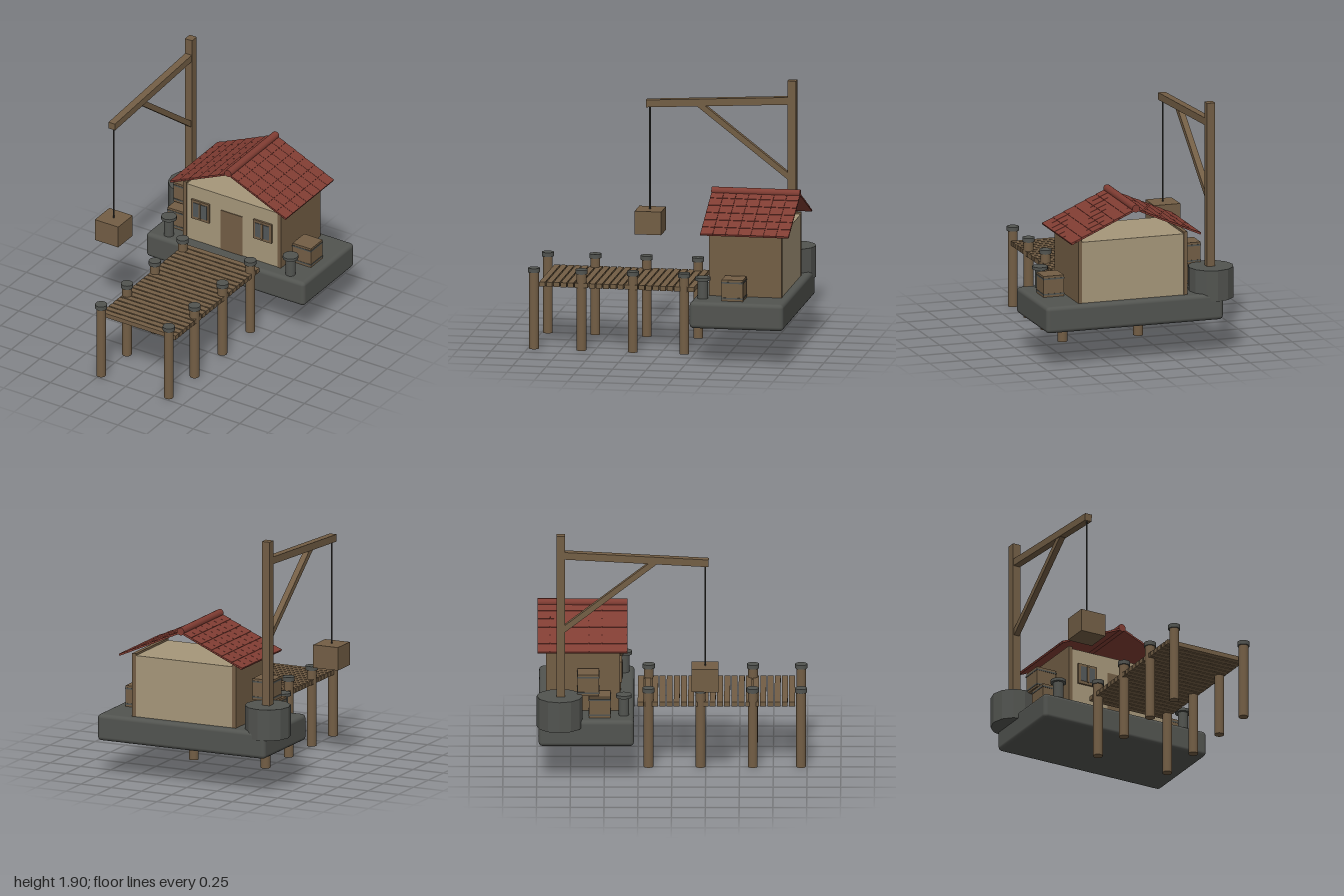
import * as THREE from 'three';
import { RoundedBoxGeometry } from 'three/addons/geometries/RoundedBoxGeometry.js';

const paint = (name, color) => {
  const m = new THREE.MeshStandardMaterial({ color });
  m.name = name;
  return m;
};

export function createModel() {
  const wood = paint('wood', 0x735e45);
  const plaster = paint('plaster', 0xa6977a);
  const tile = paint('roofTile', 0x813d33);
  const stone = paint('stone', 0x525450);
  const glass = paint('glass', 0x535859);
  const ropeMat = paint('rope', 0x3b3a37);

  const model = new THREE.Group();
  model.name = 'harbourDock';

  const add = (name, geo, mat, x, y, z, parent = model) => {
    const mesh = new THREE.Mesh(geo, mat);
    mesh.name = name;
    mesh.position.set(x, y, z);
    parent.add(mesh);
    return mesh;
  };
  // box given by its limits on each axis
  const box = (name, mat, x0, x1, y0, y1, z0, z1, parent) =>
    add(name, new THREE.BoxGeometry(x1 - x0, y1 - y0, z1 - z0), mat,
      (x0 + x1) / 2, (y0 + y1) / 2, (z0 + z1) / 2, parent);
  // upright cylinder given by its bottom and top
  const post = (name, mat, r, x, z, y0, y1, sides = 20, parent) =>
    add(name, new THREE.CylinderGeometry(r, r, y1 - y0, sides), mat, x, (y0 + y1) / 2, z, parent);
  const group = (name) => {
    const g = new THREE.Group();
    g.name = name;
    model.add(g);
    return g;
  };

  // quay slab
  add('quaySlab', new RoundedBoxGeometry(1.385, 0.2, 0.705, 3, 0.03), stone, 0.058, 0.375, -0.633);

  // house: plaster core between two timber side walls
  const house = group('house');
  box('plasterWalls', plaster, -0.342, 0.457, 0.47, 0.94, -0.928, -0.386, house);
  box('rightSideWall', wood, -0.37, -0.34, 0.47, 0.955, -0.93, -0.383, house);
  box('leftSideWall', wood, 0.455, 0.485, 0.47, 0.955, -0.93, -0.383, house);
  box('door', wood, -0.04, 0.15, 0.475, 0.81, -0.388, -0.38, house);
  for (const x of [-0.215, 0.33]) {
    box('windowFrame', wood, x - 0.08, x + 0.08, 0.667, 0.828, -0.388, -0.371, house);
    box('windowPane', glass, x - 0.06, x + 0.06, 0.69, 0.807, -0.374, -0.367, house);
    box('windowBar', wood, x - 0.008, x + 0.008, 0.685, 0.812, -0.374, -0.362, house);
  }

  // roof: two slopes of lapped tiles under a round ridge
  const roof = group('roof');
  const slope = 0.553, rows = 6, cols = 7, depth = 0.665;
  const rowLength = slope / rows, colWidth = depth / cols;
  for (const s of [-1, 1]) {
    const side = new THREE.Group();
    side.name = s < 0 ? 'rightSlope' : 'leftSlope';
    side.position.set(0.055, 1.17, -0.6625);
    side.rotation.z = -s * 0.419;
    roof.add(side);
    add('roofPanel', new THREE.BoxGeometry(slope, 0.008, depth), tile, s * slope / 2, 0, 0, side);
    for (let r = 0; r < rows; r++) {
      for (let c = 0; c < cols; c++) {
        const t = add('tile', new THREE.BoxGeometry(rowLength, 0.008, colWidth - 0.002), tile,
          s * (r + 0.5) * rowLength, 0.006, (c + 0.5) * colWidth - depth / 2, side);
        t.rotation.z = s * 0.04;
      }
    }
  }
  add('ridge', new THREE.CylinderGeometry(0.029, 0.029, depth, 16), tile, 0.055, 1.18, -0.6625, roof)
    .rotation.x = Math.PI / 2;

  // pier planks
  const pier = group('pier');
  for (let i = 0; i < 22; i++) {
    const z = 0.888 - i * 0.0533;
    box('plank', wood, -0.27, 0.38, 0.475, 0.51, z - 0.022, z + 0.022, pier);
  }
  // pier piles with caps
  for (const x of [-0.242, 0.35]) {
    for (const z of [0.955, 0.598, 0.212, -0.174]) {
      post('pile', wood, 0.036, x, z, 0, 0.585, 20, pier);
      post('pileCap', stone, 0.045, x, z, 0.578, 0.61, 20, pier);
    }
  }

  // bollards
  for (const x of [-0.476, 0.588]) {
    post('bollard', stone, 0.038, x, -0.355, 0.47, 0.62);
    post('bollardCap', stone, 0.058, x, -0.355, 0.612, 0.635);
  }

  // banded crates
  const crate = (x, y, z) => {
    const g = group('crate');
    g.position.set(x, y, z);
    box('crateBody', wood, -0.08, 0.08, 0, 0.162, -0.08, 0.08, g);
    for (const b of [0.022, 0.14])
      box('crateBand', stone, -0.083, 0.083, b - 0.006, b + 0.006, -0.083, 0.083, g);
  };
  crate(0.588, 0.473, -0.59);
  crate(-0.472, 0.473, -0.533);
  crate(-0.472, 0.645, -0.618);

  // crane
  const crane = group('crane');
  const cx = -0.58;
  const base = post('craneBase', stone, 0.17, cx - 0.005, -0.83, 0.42, 0.655, 12, crane);
  base.geometry = base.geometry.toNonIndexed();
  base.geometry.computeVertexNormals();
  box('mast', wood, cx - 0.031, cx + 0.031, 0.64, 1.9, -0.855, -0.79, crane);
  // straight timber in the crane's plane between two (z, y) points
  const beam = (name, w, h, z0, y0, z1, y1) => {
    const m = add(name, new THREE.BoxGeometry(w, h, Math.hypot(z1 - z0, y1 - y0)), wood,
      cx, (y0 + y1) / 2, (z0 + z1) / 2, crane);
    m.rotation.x = -Math.atan2(y1 - y0, z1 - z0);
  };
  beam('boom', 0.056, 0.055, -0.81, 1.748, 0.272, 1.69);
  beam('brace', 0.045, 0.042, -0.81, 1.165, -0.115, 1.705);
  post('rope', ropeMat, 0.006, cx, 0.247, 0.88, 1.68, 8, crane);
  box('hangingCrate', wood, cx - 0.102, cx + 0.102, 0.715, 0.89, 0.145, 0.345, crane);

  return model;
}
